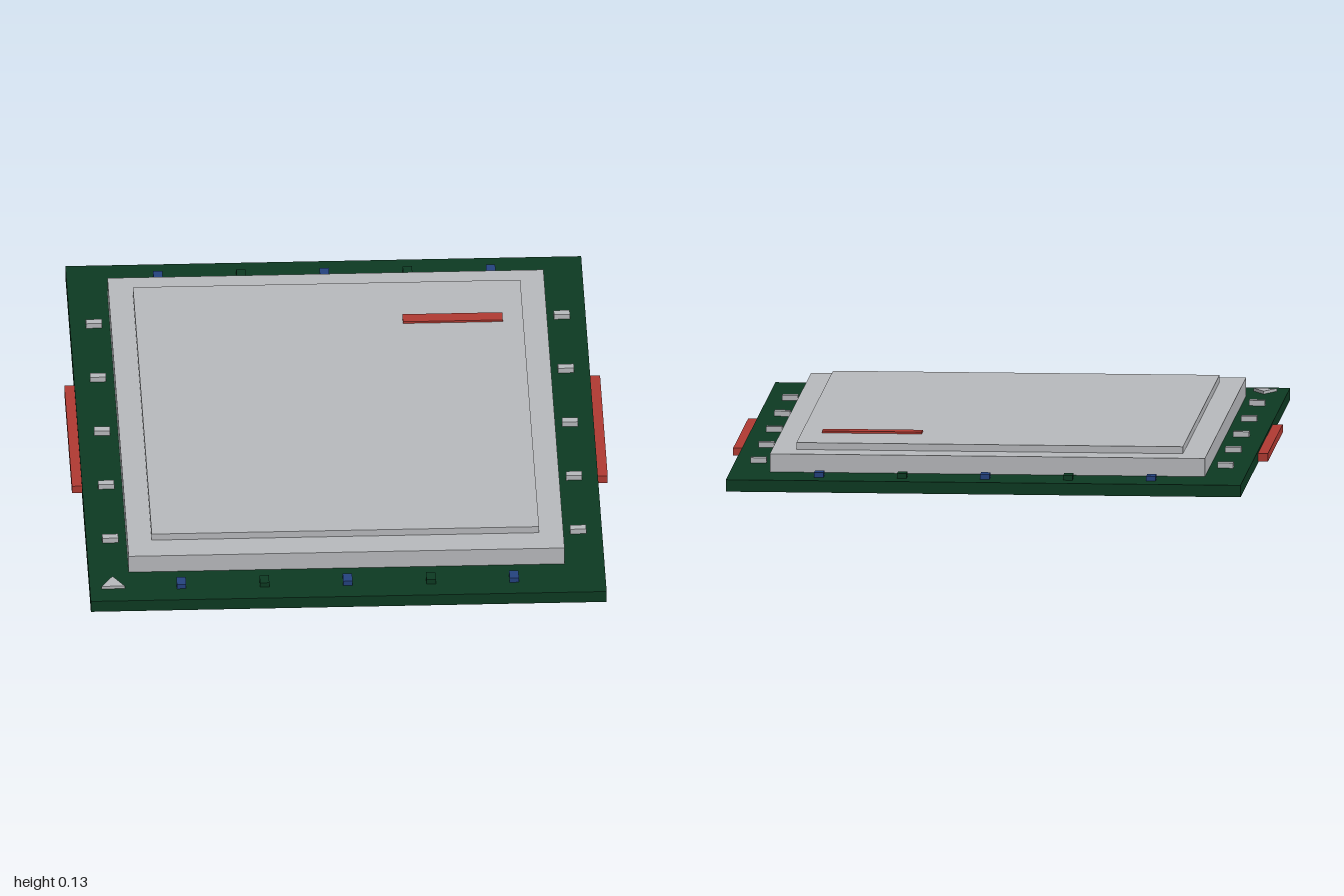
import * as THREE from 'three';

export function createModel() {
  const model = new THREE.Group();
  model.name = 'chipPackage';

  const paint = (name, color) => {
    const m = new THREE.MeshStandardMaterial({ color });
    m.name = name;
    return m;
  };
  const green = paint('board green', 0x0d3a22);
  const silver = paint('silver', 0xb8babd);
  const red = paint('red', 0xb03a32);
  const blue = paint('blue', 0x24427f);

  // Box given by its size, base height and centre on the ground plane
  function slab(name, mat, w, d, y0, y1, x = 0, z = 0) {
    const mesh = new THREE.Mesh(new THREE.BoxGeometry(w, y1 - y0, d), mat);
    mesh.name = name;
    mesh.position.set(x, (y0 + y1) / 2, z);
    model.add(mesh);
  }

  const boardTop = 0.045;

  // Stacked layers
  slab('contactPad', silver, 1.44, 1.86, 0, 0.009);
  slab('board', green, 1.55, 2, 0.009, boardTop);
  slab('lidBase', silver, 1.31, 1.66, boardTop, 0.1);
  slab('lidTop', silver, 1.164, 1.472, 0.1, 0.121);
  slab('lidStripe', red, 0.3, 0.045, 0.121, 0.127, 0.37, -0.512);

  for (const s of [-1, 1]) {
    // Side tabs
    slab('sideTab', red, 0.03, 0.6, 0.014, 0.038, s * 0.79);
    // Small parts along the long edges
    for (let i = -2; i <= 2; i++) {
      slab('sideComponent', silver, 0.048, 0.026, boardTop, 0.061, s * 0.703, i * 0.32);
    }
    // Small parts along the short edges, alternating colours
    for (let i = -2; i <= 2; i++) {
      const isBlue = i % 2 === 0;
      slab(isBlue ? 'blueComponent' : 'greenComponent', isBlue ? blue : green,
        0.028, 0.045, boardTop, 0.06, i * 0.25, s * 0.912);
    }
  }

  // Corner orientation mark, pointing to the back
  const tri = new THREE.Shape([
    new THREE.Vector2(-0.035, -0.03),
    new THREE.Vector2(0.035, -0.03),
    new THREE.Vector2(0, 0.03),
  ]);
  const mark = new THREE.Mesh(
    new THREE.ExtrudeGeometry(tri, { depth: 0.009, bevelEnabled: false }), silver);
  mark.name = 'cornerMark';
  mark.rotation.x = -Math.PI / 2;
  mark.position.set(-0.705, boardTop, 0.897);
  model.add(mark);

  return model;
}
